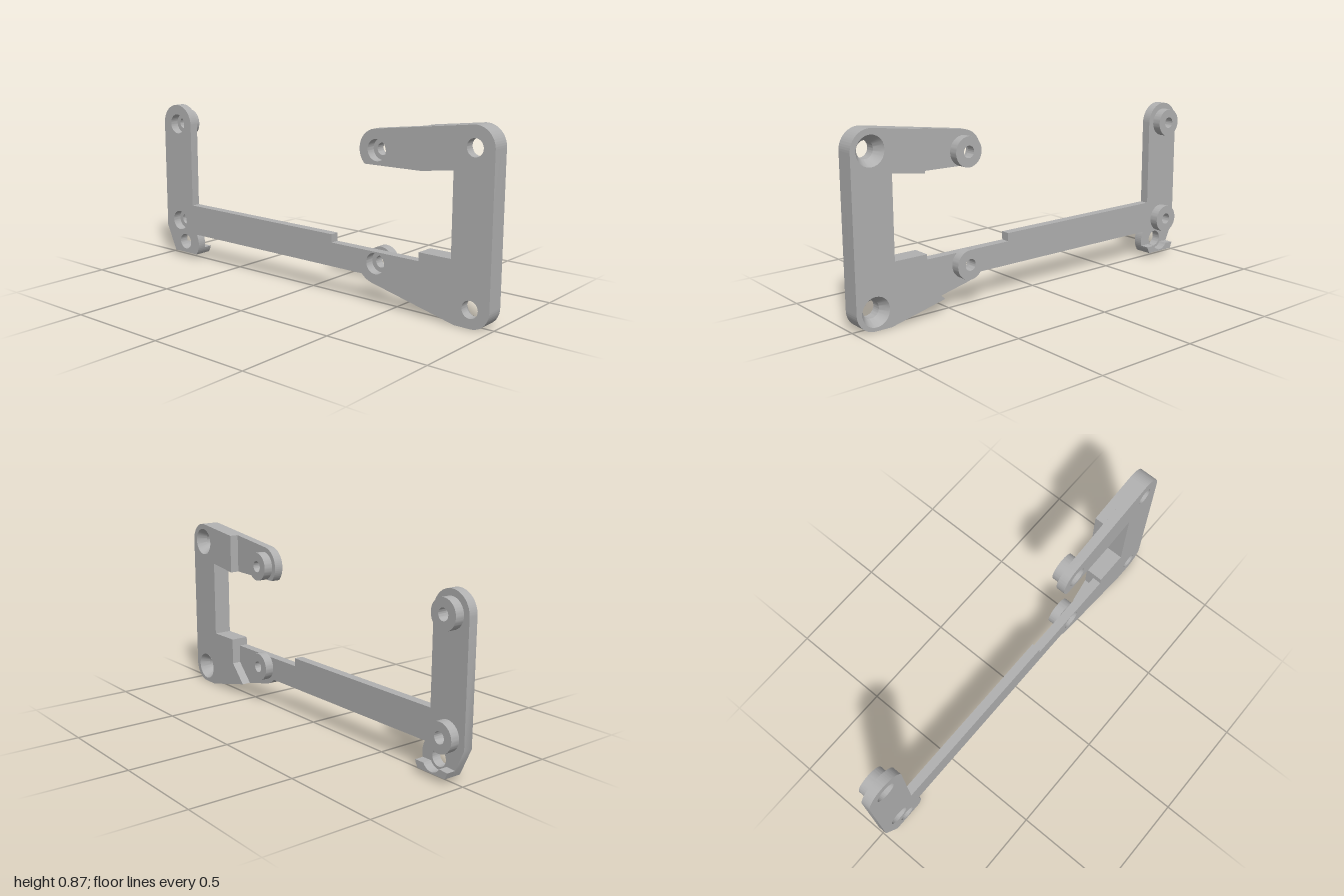
import * as THREE from 'three';
import { toCreasedNormals } from 'three/addons/utils/BufferGeometryUtils.js';

const T = 0.045; // thickness of each layer
const rad = (d) => (d * Math.PI) / 180;

export function createModel() {
  const group = new THREE.Group();
  const grey = new THREE.MeshStandardMaterial({ color: 0xb0b0b0 });
  grey.name = 'grey';

  const bossCentres = [[-0.9, 0.715], [-0.9, 0.195], [0.405, 0.715], [0.405, 0.195]];
  const screwCentres = [[0.905, 0.778], [0.905, 0.085]];
  const tabHole = [-0.86, 0.085];

  const punch = (shape, [x, y], r) => {
    const hole = new THREE.Path();
    hole.absarc(x, y, r, 0, Math.PI * 2, true);
    shape.holes.push(hole);
  };
  const add = (name, geometry, z = 0) => {
    const mesh = new THREE.Mesh(toCreasedNormals(geometry, rad(30)), grey);
    mesh.name = name;
    mesh.position.z = z;
    group.add(mesh);
    return mesh;
  };
  const slab = (shape) =>
    new THREE.ExtrudeGeometry(shape, { depth: T, bevelEnabled: false, curveSegments: 32 });
  const lines = (shape, points) => points.forEach(([x, y]) => shape.lineTo(x, y));
  // Outer edge of the frame, shared by both layers
  const frameEdge = (shape) => {
    shape.lineTo(0.83, 0);
    shape.absarc(0.91, 0.09, 0.09, rad(-90), 0, false);
    shape.absarc(0.905, 0.778, 0.095, 0, rad(97), false);
  };

  // Front plate: frame, rail, post and tab in one outline
  const plate = new THREE.Shape();
  plate.moveTo(0.385, 0.102);
  frameEdge(plate);
  plate.absarc(0.405, 0.715, 0.095, rad(97), rad(226), false);
  lines(plate, [[0.64, 0.65], [0.805, 0.672], [0.805, 0.29], [0.64, 0.29],
    [0.64, 0.25], [0.15, 0.25], [0.15, 0.29], [-0.8, 0.29]]);
  plate.absarc(-0.9, 0.715, 0.1, 0, Math.PI, false);
  lines(plate, [[-1, 0.155], [-0.94, 0.025]]);
  plate.absarc(tabHole[0], tabHole[1], 0.1, rad(-37), rad(30), false);
  lines(plate, [[-0.773, 0.135], [0.33, 0.135]]);
  plate.quadraticCurveTo(0.35, 0.112, 0.385, 0.102);
  bossCentres.forEach((c) => punch(plate, c, 0.05));
  [...screwCentres, tabHole].forEach((c) => punch(plate, c, 0.04));
  add('frontPlate', slab(plate));

  // Thicker rear layer of the frame
  const frame = new THREE.Shape();
  frame.moveTo(0.55, 0.065);
  frameEdge(frame);
  lines(frame, [[0.64, 0.841], [0.64, 0.65], [0.805, 0.672], [0.805, 0.29],
    [0.64, 0.29], [0.64, 0.16], [0.55, 0.065]]);
  screwCentres.forEach((c) => punch(frame, c, 0.068));
  add('rearFrame', slab(frame), -T);

  // Conical screw seats
  screwCentres.forEach(([x, y]) => {
    const profile = [new THREE.Vector2(0.068, T), new THREE.Vector2(0.04, 0)];
    const cone = new THREE.LatheGeometry(profile, 40).rotateX(-Math.PI / 2);
    const seat = add('screwSeat', cone);
    seat.material = seatMaterial(grey);
    seat.position.set(x, y, 0);
  });

  // Rear bosses with narrow bores
  bossCentres.forEach(([x, y]) => {
    const ring = new THREE.Shape();
    ring.absarc(x, y, 0.07, 0, Math.PI * 2, false);
    punch(ring, [x, y], 0.028);
    add('boss', slab(ring), -T);
  });

  // Cradle behind the tab, cut by the hole
  const cradle = new THREE.Shape();
  cradle.moveTo(-0.94, 0.025);
  cradle.absarc(tabHole[0], tabHole[1], 0.1, rad(-37), rad(-15), false);
  cradle.absarc(tabHole[0], tabHole[1], 0.053, rad(-29), rad(-151), true);
  lines(cradle, [[-0.954, 0.056], [-0.94, 0.025]]);
  add('tabCradle', slab(cradle), -T);

  return group;
}

// The seats are open surfaces seen from inside
function seatMaterial(base) {
  base.side = THREE.DoubleSide;
  return base;
}
